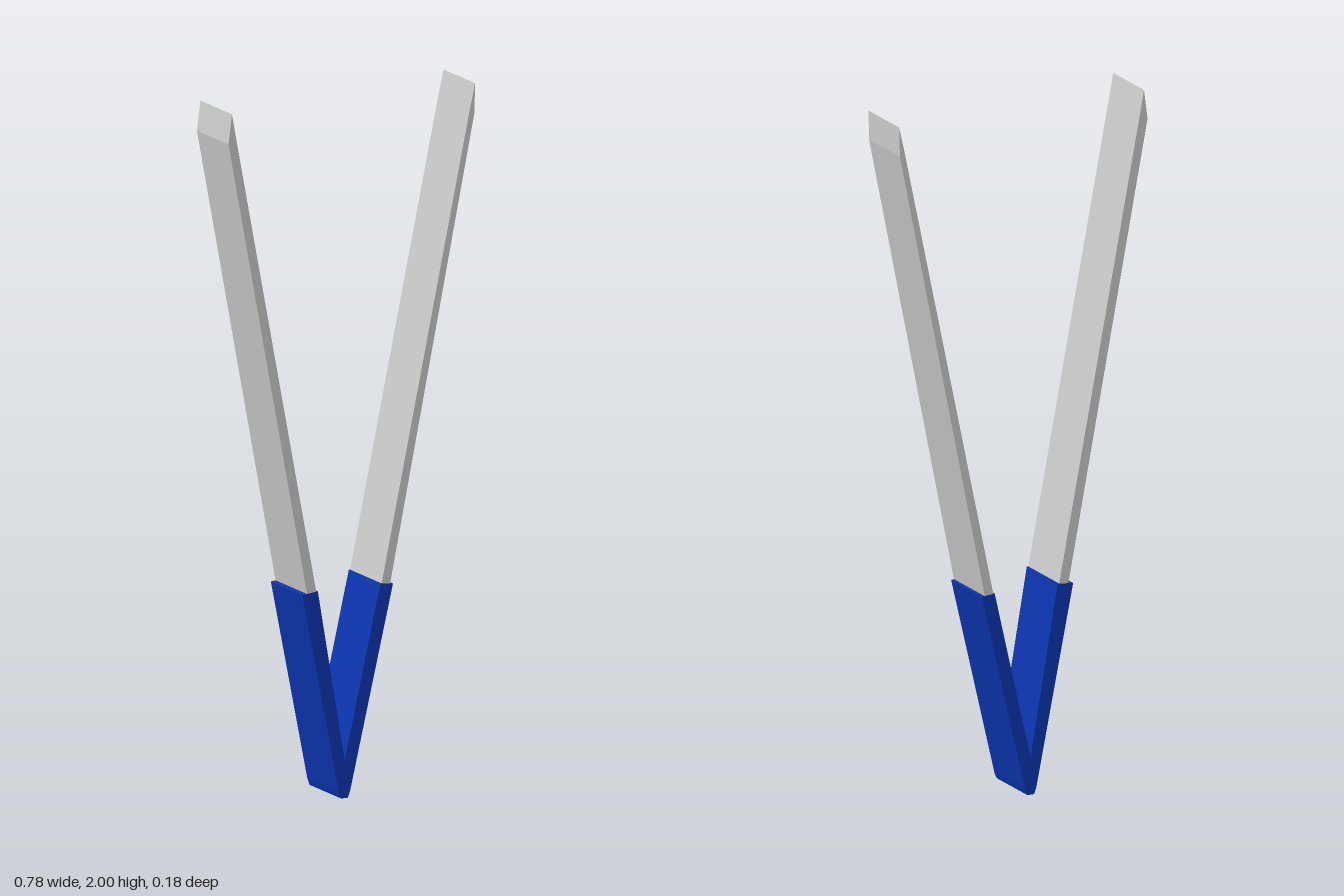
import * as THREE from 'three';

const DEPTH = 0.184;

// Extrude a flat front outline through the depth of the tool
function slab(name, points, color) {
  const shape = new THREE.Shape(points.map(([x, y]) => new THREE.Vector2(x, y)));
  const geometry = new THREE.ExtrudeGeometry(shape, { depth: DEPTH, bevelEnabled: false });
  geometry.translate(0, 0, -DEPTH / 2);
  const mesh = new THREE.Mesh(geometry, new THREE.MeshStandardMaterial({ color, flatShading: true }));
  mesh.name = name;
  return mesh;
}

export function createModel() {
  const group = new THREE.Group();
  group.name = 'tweezers';

  // Blue V-shaped grip with a small blunt foot
  group.add(slab('grip', [
    [-0.034, 0], [-0.013, 0], [-0.006, 0.018],
    [0.13, 0.597], [0.09, 0.602], [-0.023, 0.108],
    [-0.108, 0.602], [-0.157, 0.597], [-0.041, 0.018],
  ], 0x0c36b0));

  // Slim arms with bevelled tips, rising from the grip ends
  group.add(slab('rightArm', [
    [-0.142, 0.598], [-0.113, 0.601], [-0.38, 2], [-0.391, 1.915],
  ].toSpliced(2, 0, [-0.366, 1.925]), 0xcccccc));
  group.add(slab('leftArm', [
    [0.094, 0.601], [0.121, 0.598], [0.388, 1.915], [0.39, 2], [0.371, 1.915],
  ], 0xcccccc));

  return group;
}
